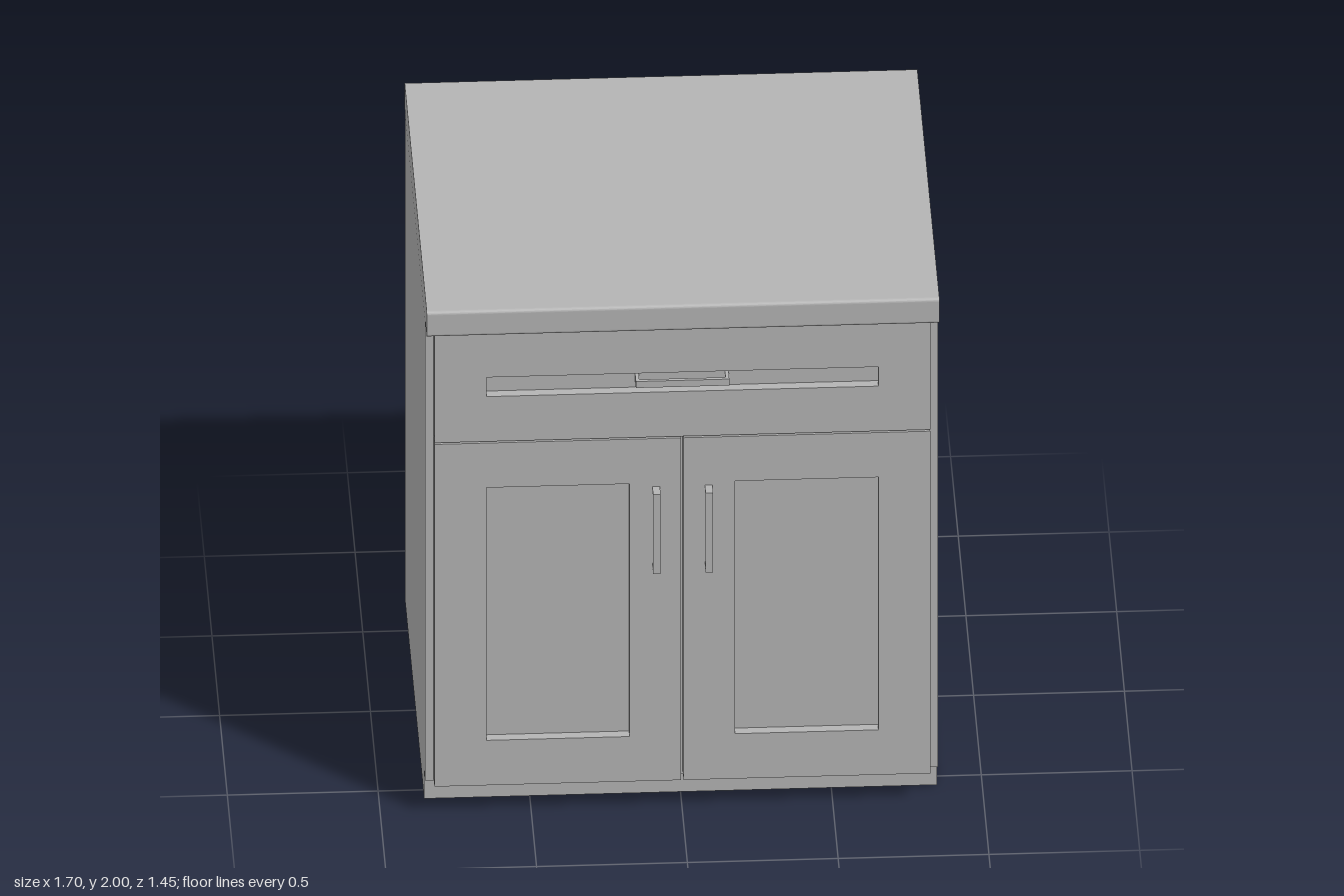
import * as THREE from 'three';

const grey = new THREE.MeshStandardMaterial({ color: 0xb4b4b4 });
grey.name = 'cabinet grey';

const FACE = 0.62;    // front plane of the carcass
const FRONT = 0.675;  // front plane of the doors and drawer
const PANEL = 0.64;   // recessed panel plane

function mesh(name, geometry) {
  const m = new THREE.Mesh(geometry, grey);
  m.name = name;
  return m;
}

function box(name, x0, x1, y0, y1, z0, z1) {
  const m = mesh(name, new THREE.BoxGeometry(x1 - x0, y1 - y0, z1 - z0));
  m.position.set((x0 + x1) / 2, (y0 + y1) / 2, (z0 + z1) / 2);
  return m;
}

function rect(Type, x0, x1, y0, y1) {
  return new Type([[x0, y0], [x1, y0], [x1, y1], [x0, y1]].map(p => new THREE.Vector2(...p)));
}

// Extrudes a (z, y) side profile across the full cabinet width
function acrossWidth(shape) {
  const g = new THREE.ExtrudeGeometry(shape, { depth: 1.7, bevelEnabled: false, curveSegments: 4 });
  g.translate(0, 0, -0.85);
  g.rotateY(-Math.PI / 2);
  return g;
}

// Frame with a recessed panel; o = outer, i = inner rectangle [x0, x1, y0, y1]
function framedFront(name, o, i) {
  const group = new THREE.Group();
  group.name = name;
  const shape = rect(THREE.Shape, ...o);
  shape.holes.push(rect(THREE.Path, ...i));
  const frame = mesh(name + 'Frame',
    new THREE.ExtrudeGeometry(shape, { depth: FRONT - FACE, bevelEnabled: false }));
  frame.position.z = FACE;
  group.add(frame, box(name + 'Panel', ...i, FACE, PANEL));
  return group;
}

// Square-section pull, built upright and standing off z = 0
function pull(name) {
  const group = new THREE.Group();
  group.name = name;
  const w = 0.0125, h = 0.155, d = 0.05, t = 0.012;
  group.add(box('grip', -w, w, -h, h, d - t, d));
  for (const s of [-1, 1]) {
    const post = box('post', -w, w, h - t, h, 0, d - t);
    post.position.y *= s;
    group.add(post);
  }
  return group;
}

export function createModel() {
  const model = new THREE.Group();
  model.name = 'baseCabinet';

  // Carcass with toe-kick notch
  const side = new THREE.Shape([[-0.71, 0], [0.555, 0], [0.555, 0.11], [FACE, 0.11], [FACE, 1.9], [-0.71, 1.9]]
    .map(p => new THREE.Vector2(...p)));
  model.add(mesh('carcass', acrossWidth(side)));

  // Countertop with softened front and back edges
  const top = new THREE.Shape();
  const r = 0.012, z = 0.725, y0 = 1.902, y1 = 2;
  top.absarc(z - r, y0 + r, r, -Math.PI / 2, 0);
  top.absarc(z - r, y1 - r, r, 0, Math.PI / 2);
  top.absarc(-z + r, y1 - r, r, Math.PI / 2, Math.PI);
  top.absarc(-z + r, y0 + r, r, Math.PI, Math.PI * 1.5);
  model.add(mesh('countertop', acrossWidth(top)));

  // Drawer with its horizontal pull on the recessed panel
  model.add(framedFront('drawer', [-0.822, 0.822, 1.46, 1.89], [-0.65, 0.65, 1.635, 1.71]));
  const drawerPull = pull('drawerPull');
  drawerPull.rotation.z = Math.PI / 2;
  drawerPull.position.set(0, 1.675, PANEL);
  model.add(drawerPull);

  // Pair of doors with upright pulls
  for (const [name, s] of [['left', 1], ['right', -1]]) {
    const span = (a, b) => (s > 0 ? [a, b] : [-b, -a]);
    model.add(framedFront(name + 'Door',
      [...span(0.004, 0.822), 0.12, 1.454], [...span(0.175, 0.65), 0.295, 1.28]));
    const doorPull = pull(name + 'DoorPull');
    doorPull.position.set(s * 0.087, 1.112, FRONT);
    model.add(doorPull);
  }
  return model;
}
